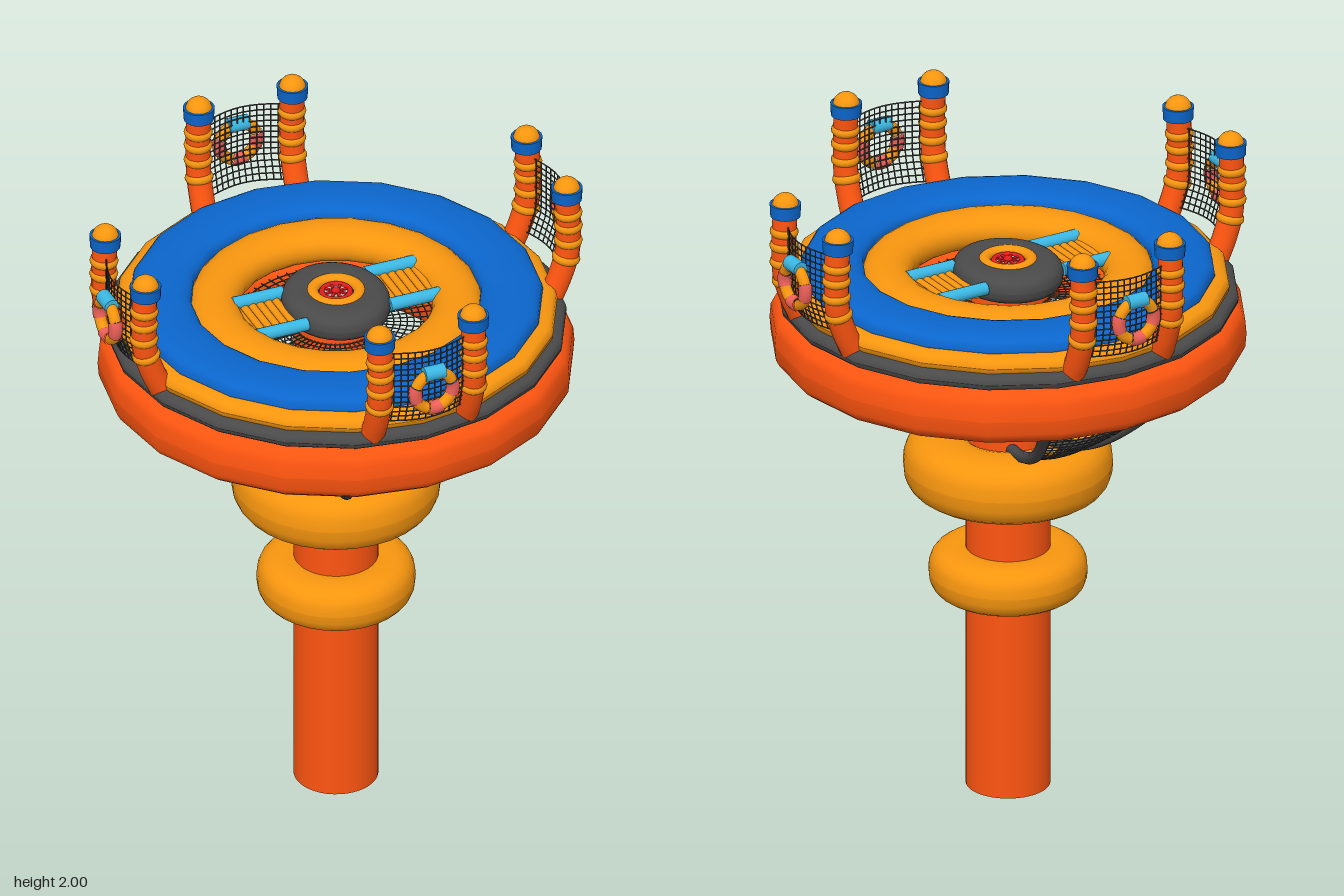
import * as THREE from 'three';
import { mergeGeometries } from 'three/addons/utils/BufferGeometryUtils.js';

const paint = (color) => new THREE.MeshStandardMaterial({ color });
const ORANGE = paint(0xff5510), AMBER = paint(0xf8960f), BLUE = paint(0x0b66cc), GREY = paint(0x4a4a4a);
const CYAN = paint(0x3bb8e4), CORAL = paint(0xee6058), RED = paint(0xe01c1c), ROPE = paint(0x444444), SILVER = paint(0xcccccc);
const V = (x, y, z) => new THREE.Vector3(x, y, z);

function add(parent, name, geometry, material, x = 0, y = 0, z = 0) {
  const mesh = new THREE.Mesh(geometry, material);
  mesh.name = name;
  mesh.position.set(x, y, z);
  parent.add(mesh);
  return mesh;
}

// Inflated ring: a rounded cross-section swept round the y axis
function ring(parent, name, material, radius, halfWidth, y, halfHeight, power = 2.5, sides = 32) {
  const points = [];
  const bend = (t) => Math.sign(t) * Math.abs(t) ** (2 / power);
  for (let i = 0; i <= 24; i++) {
    const a = (i / 24) * Math.PI * 2;
    points.push(new THREE.Vector2(radius + halfWidth * bend(Math.cos(a)), halfHeight * bend(Math.sin(a))));
  }
  return add(parent, name, new THREE.LatheGeometry(points, sides), material, 0, y, 0);
}

const tube = (points, radius, steps = 16, sides = 10) =>
  new THREE.TubeGeometry(new THREE.CatmullRomCurve3(points), steps, radius, sides);

// Rope net stretched over a surface given by at(u, v)
function net(parent, name, at, nu, nv, radius = 0.0025) {
  const ropes = [];
  const steps = 10;
  const strand = (f) => ropes.push(tube(Array.from({ length: steps + 1 }, (_, i) => f(i / steps)), radius, steps, 3));
  for (let i = 0; i <= nu; i++) strand((t) => at(i / nu, t));
  for (let j = 0; j <= nv; j++) strand((t) => at(t, j / nv));
  add(parent, name, mergeGeometries(ropes), ROPE);
}

// Post that leans outward at its foot, with bands, a blue collar and a round cap
function post(parent, x) {
  const path = new THREE.CatmullRomCurve3([V(x, 1.6, 0.625), V(x, 1.66, 0.652), V(x, 1.74, 0.676), V(x, 1.84, 0.68), V(x, 1.96, 0.675)]);
  const group = new THREE.Group();
  group.name = 'post';
  parent.add(group);
  add(group, 'postTube', new THREE.TubeGeometry(path, 20, 0.037, 16), ORANGE);
  for (const t of [0.36, 0.52, 0.66, 0.78]) {
    const p = path.getPointAt(t);
    const band = add(group, 'postBand', new THREE.SphereGeometry(0.043, 16, 10), AMBER, p.x, p.y, p.z);
    band.scale.y = 0.6;
    band.quaternion.setFromUnitVectors(V(0, 1, 0), path.getTangentAt(t));
  }
  add(group, 'postCap', new THREE.SphereGeometry(0.041, 16, 12), AMBER, x, 1.959, 0.675);
  add(group, 'postCollar', new THREE.CylinderGeometry(0.047, 0.045, 0.04, 18), BLUE, x, 1.948, 0.675);
}

// Ring buoy of alternating colours with a strap on top
function buoy(parent) {
  const group = new THREE.Group();
  group.name = 'ringBuoy';
  group.position.set(0, 1.775, 0.732);
  parent.add(group);
  for (let i = 0; i < 8; i++) {
    const part = add(group, 'buoySegment', new THREE.TorusGeometry(0.06, i % 2 ? 0.018 : 0.021, 10, 6, Math.PI / 4), i % 2 ? AMBER : CORAL);
    part.rotation.z = (i - 0.5) * Math.PI / 4;
  }
  const strap = add(group, 'buoyStrap', new THREE.CylinderGeometry(0.023, 0.023, 0.065, 14), CYAN, 0, 0.062, 0);
  strap.rotation.z = Math.PI / 2;
}

// Hose curve beneath the platform; side is -1 or +1, t runs from top to bottom
const hosePaths = {
  grey: [[0.215, 1.42, 0.57], [0.16, 1.3, 0.46], [0.11, 1.2, 0.33], [0.075, 1.145, 0.2], [0.05, 1.125, 0.1]],
  blue: [[0.215, 1.42, 0.55], [0.16, 1.335, 0.42], [0.11, 1.285, 0.3], [0.08, 1.265, 0.2], [0.05, 1.265, 0.1]],
};

function hoses(parent, key, material) {
  const sidePath = (side) => hosePaths[key].map(([x, y, z]) => V(side * x, y, z));
  for (const side of [-1, 1]) add(parent, key + 'Hose', tube(sidePath(side), 0.018, 24), material);
  const left = new THREE.CatmullRomCurve3(sidePath(-1)), right = new THREE.CatmullRomCurve3(sidePath(1));
  net(parent, 'slungNet', (u, v) => {
    const p = left.getPoint(v * 0.93).lerp(right.getPoint(v * 0.93), u);
    p.y -= 0.02 * Math.sin(Math.PI * u);
    return p;
  }, 14, 22);
}

export function createModel() {
  const model = new THREE.Group();
  model.name = 'inflatableTower';

  // Column and its collars
  add(model, 'column', new THREE.CylinderGeometry(0.125, 0.125, 1.62, 40), ORANGE, 0, 0.81, 0);
  ring(model, 'lowerCollar', AMBER, 0.15, 0.085, 0.69, 0.077);
  ring(model, 'middleCollar', AMBER, 0.2, 0.11, 1.037, 0.1);
  ring(model, 'upperCollar', AMBER, 0.12, 0.052, 1.28, 0.05);

  // Stacked rings of the platform
  ring(model, 'platformHull', ORANGE, 0.53, 0.175, 1.475, 0.095, 3.4, 20);
  ring(model, 'bumperRing', GREY, 0.59, 0.092, 1.585, 0.028, 3, 20);
  ring(model, 'deckRing', AMBER, 0.52, 0.135, 1.625, 0.036, 3, 20);
  ring(model, 'seatRing', BLUE, 0.52, 0.092, 1.66, 0.043, 2.6, 20);
  ring(model, 'innerRing', AMBER, 0.36, 0.075, 1.635, 0.055, 2.2, 24);

  // Net floor in the opening
  const floor = [];
  for (let i = 0; i < 9; i++) floor.push(new THREE.TorusGeometry(0.13 + i * 0.02, 0.0025, 3, 48).rotateX(Math.PI / 2));
  for (let i = 0; i < 60; i++) {
    floor.push(new THREE.CylinderGeometry(0.0025, 0.0025, 0.18, 3).rotateZ(Math.PI / 2).translate(0.21, 0, 0).rotateY((i / 60) * Math.PI * 2));
  }
  const floorParts = floor.map((g) => g.toNonIndexed());
  add(model, 'netFloor', mergeGeometries(floorParts), ROPE, 0, 1.58, 0);

  // Hub at the centre
  ring(model, 'hubCushion', GREY, 0.115, 0.063, 1.65, 0.045).scale.x = 0.89;
  ring(model, 'hubRing', AMBER, 0.07, 0.018, 1.685, 0.016, 2);
  add(model, 'hubPlate', new THREE.CylinderGeometry(0.065, 0.065, 0.07, 24), GREY, 0, 1.645, 0);
  ring(model, 'hubRim', RED, 0.042, 0.008, 1.683, 0.009, 2);
  add(model, 'hubFace', new THREE.CylinderGeometry(0.038, 0.038, 0.01, 20), SILVER, 0, 1.679, 0);
  for (let i = 0; i < 4; i++) {
    add(model, 'hubSpoke', new THREE.BoxGeometry(0.078, 0.008, 0.009), RED, 0, 1.684, 0).rotation.y = (i * Math.PI) / 4;
  }
  add(model, 'hubKnob', new THREE.SphereGeometry(0.014, 12, 8), RED, 0, 1.686, 0);

  // Slatted bridges from the hub to the inner ring
  for (const side of [-1, 1]) {
    const bridge = new THREE.Group();
    bridge.name = 'bridge';
    model.add(bridge);
    for (let i = 0; i < 6; i++) {
      const slat = add(bridge, 'slat', new THREE.CylinderGeometry(0.013, 0.013, 0.18, 10), AMBER, side * (0.16 + i * 0.025), 1.645, 0);
      slat.rotation.x = Math.PI / 2;
    }
    for (const z of [-0.093, 0.093]) {
      const rail = add(bridge, 'bridgeRail', new THREE.CylinderGeometry(0.02, 0.02, 0.16, 14), CYAN, side * 0.212, 1.66, z);
      rail.rotation.z = Math.PI / 2;
    }
  }

  // Four stations: posts, bowed net and buoy, with hoses below
  for (let i = 0; i < 4; i++) {
    const station = new THREE.Group();
    station.name = 'station';
    station.rotation.y = (i * Math.PI) / 2;
    model.add(station);
    for (const x of [-0.15, 0.15]) post(station, x);
    net(station, 'guardNet', (u, v) =>
      V((u - 0.5) * 0.26, 1.655 + v * 0.25, 0.655 + 0.025 * Math.min(1, v * 3) + 0.035 * Math.sin(Math.PI * u)), 13, 13);
    buoy(station);
    if (i % 2) hoses(station, 'blue', BLUE);
    else hoses(station, 'grey', GREY);
  }
  return model;
}
